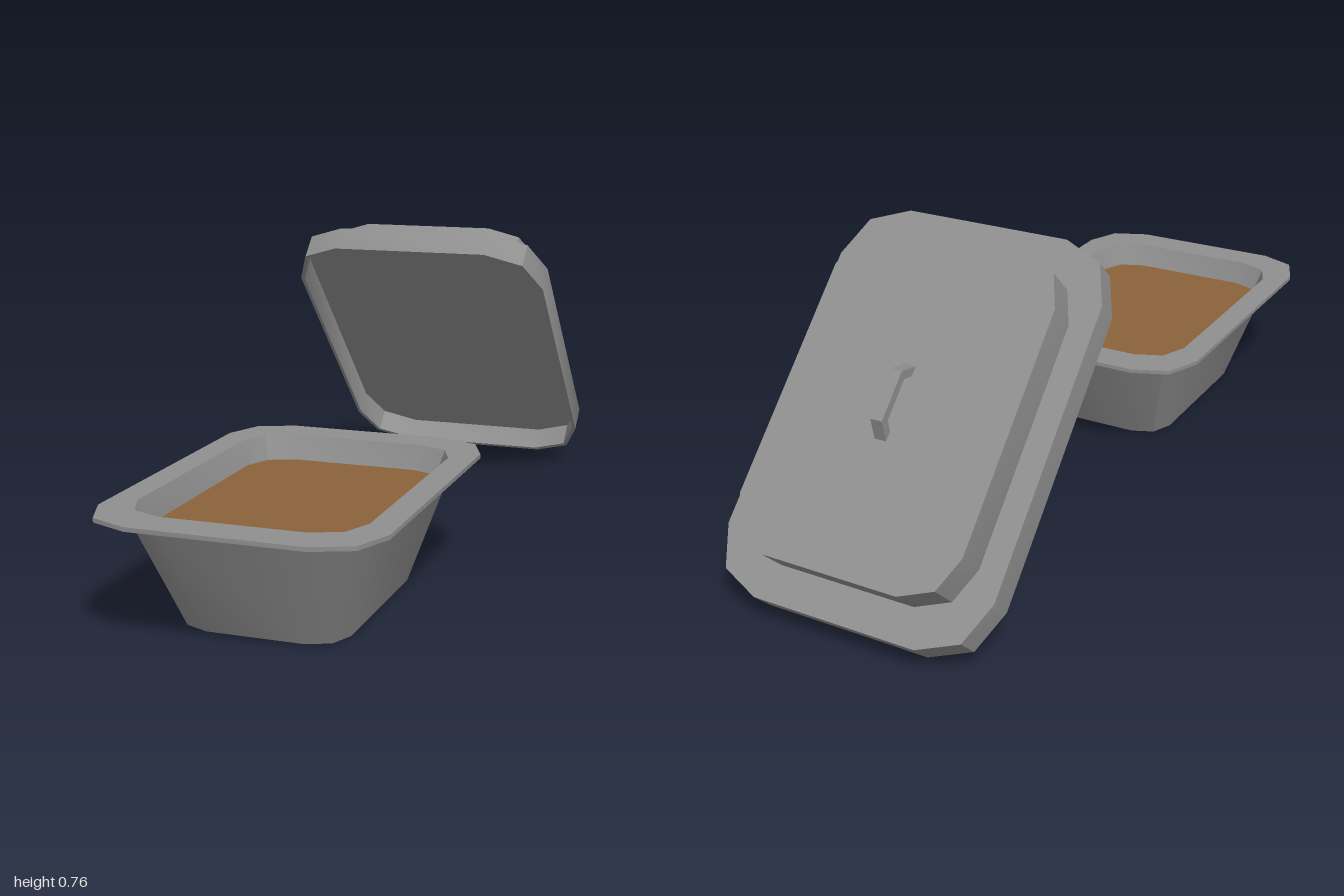
import * as THREE from 'three';
import { toCreasedNormals } from 'three/addons/utils/BufferGeometryUtils.js';

const grey = new THREE.MeshStandardMaterial({ color: 0x8f8f8f });
const brown = new THREE.MeshStandardMaterial({ color: 0x8b6239 });

// Rectangle outline with each corner rounded in two steps
function outline([hx, hz, r, y]) {
  const points = [];
  for (let corner = 0; corner < 4; corner++) {
    const sx = corner === 0 || corner === 3 ? 1 : -1;
    const sz = corner < 2 ? 1 : -1;
    for (let step = 0; step < 3; step++) {
      const a = corner * Math.PI / 2 + step * Math.PI / 4;
      points.push([sx * (hx - r) + r * Math.cos(a), y, sz * (hz - r) + r * Math.sin(a)]);
    }
  }
  return points;
}

// Skin between successive outlines [halfX, halfZ, cornerRadius, y]; a zero size closes the end
function loft(name, rings, material = grey) {
  const positions = [];
  for (let k = 0; k + 1 < rings.length; k++) {
    const a = outline(rings[k]), b = outline(rings[k + 1]);
    for (let i = 0; i < a.length; i++) {
      const j = (i + 1) % a.length;
      if (rings[k + 1][0] > 0) positions.push(...a[i], ...b[i], ...b[j]);
      if (rings[k][0] > 0) positions.push(...a[i], ...b[j], ...a[j]);
    }
  }
  const geometry = new THREE.BufferGeometry();
  geometry.setAttribute('position', new THREE.Float32BufferAttribute(positions, 3));
  const mesh = new THREE.Mesh(toCreasedNormals(geometry, Math.PI / 6), material);
  mesh.name = name;
  return mesh;
}

function createTub() {
  const tub = new THREE.Group();
  tub.name = 'tub';
  // Tapered walls, flat flange and the inner wall down to below the filling
  tub.add(loft('tubBody', [
    [0, 0, 0, 0],
    [0.195, 0.275, 0.08, 0],
    [0.282, 0.4, 0.11, 0.277],
    [0.332, 0.473, 0.13, 0.277],
    [0.332, 0.473, 0.13, 0.287],
    [0.268, 0.383, 0.1, 0.287],
    [0.246, 0.354, 0.092, 0.215],
  ]));
  tub.add(loft('filling', [
    [0.251, 0.36, 0.094, 0.228],
    [0, 0, 0, 0.228],
  ], brown));
  tub.position.z = 0.527;
  return tub;
}

function createLid() {
  const lid = new THREE.Group();
  lid.name = 'lid';
  // Hollow underside, outer skirt, then the raised upper step
  lid.add(loft('lidShell', [
    [0, 0, 0, 0.068],
    [0.342, 0.476, 0.137, 0.068],
    [0.342, 0.476, 0.137, 0],
    [0.351, 0.486, 0.14, 0],
    [0.351, 0.486, 0.14, 0.072],
    [0.29, 0.401, 0.115, 0.072],
    [0.29, 0.401, 0.115, 0.161],
    [0, 0, 0, 0.161],
  ]));

  // Arched grip
  const arch = new THREE.Shape([
    [-0.09, 0], [-0.06, 0.046], [0.06, 0.046], [0.09, 0],
    [0.066, 0], [0.049, 0.025], [-0.049, 0.025], [-0.066, 0],
  ].map(([x, y]) => new THREE.Vector2(x, y)));
  const width = 0.03;
  const geometry = new THREE.ExtrudeGeometry(arch, { depth: width, bevelEnabled: false });
  geometry.translate(0, 0, -width / 2);
  geometry.rotateY(Math.PI / 2);
  const handle = new THREE.Mesh(geometry, grey);
  handle.name = 'handle';
  handle.position.y = 0.161;
  lid.add(handle);

  // Tilted behind the tub
  lid.rotation.x = -0.8;
  lid.position.set(0, 0.365, -0.603);
  return lid;
}

export function createModel() {
  const model = new THREE.Group();
  model.name = 'liddedTub';
  model.add(createTub(), createLid());
  return model;
}
